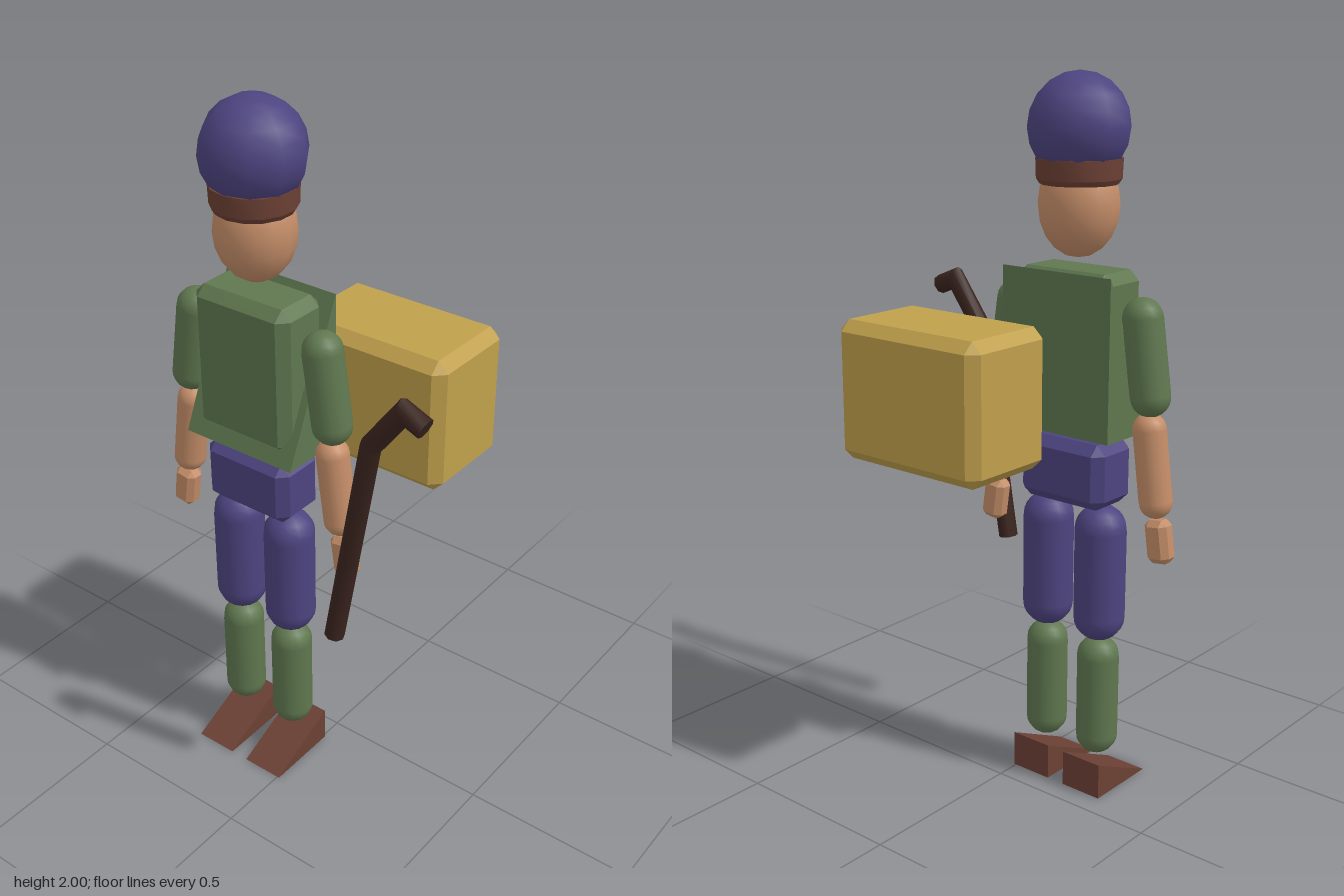
import * as THREE from 'three';
import { toCreasedNormals } from 'three/addons/utils/BufferGeometryUtils.js';
import { ConvexGeometry } from 'three/addons/geometries/ConvexGeometry.js';

const CX = -0.148, CZ = 0.143; // middle of the figure
const V = (x, y, z) => new THREE.Vector3(x, y, z);
const material = (color) => new THREE.MeshStandardMaterial({ color });

// Box with every edge cut at 45 degrees
function chamferBox(w, h, d, c) {
  const pts = [];
  for (const i of [-1, 1]) for (const j of [-1, 1]) for (const k of [-1, 1]) {
    const x = w / 2, y = h / 2, z = d / 2;
    pts.push(V(i * x, j * (y - c), k * (z - c)), V(i * (x - c), j * y, k * (z - c)), V(i * (x - c), j * (y - c), k * z));
  }
  return new ConvexGeometry(pts);
}

// Ramp: upright at the back, sloping down to the front
function wedge(w, h, zBack, zFront) {
  const pts = [];
  for (const x of [-w / 2, w / 2]) pts.push(V(x, 0, zBack), V(x, h, zBack), V(x, 0, zFront));
  return new ConvexGeometry(pts);
}

// Bar with mitred bends along a flat path, made by moving the rows of a cylinder
function bentBar(path, r, sides) {
  const n = path.length - 1;
  const geo = new THREE.CylinderGeometry(r, r, n, sides, n);
  const pos = geo.attributes.position;
  const dir = (i) => path[i + 1].clone().sub(path[i]).normalize();
  for (let v = 0; v < pos.count; v++) {
    const row = Math.round(pos.getY(v) + n / 2);
    const a = dir(Math.max(row - 1, 0)), b = dir(Math.min(row, n - 1));
    const t = a.clone().add(b).normalize();
    const s = pos.getX(v) / t.dot(a);
    pos.setXYZ(v, path[row].x + t.y * s, path[row].y - t.x * s, pos.getZ(v));
  }
  return toCreasedNormals(geo.toNonIndexed(), 0.8);
}

export function createModel() {
  const model = new THREE.Group();
  model.name = 'traveller';
  const green = material(0x5f774f), purple = material(0x4d4480), skin = material(0xc48d68);
  const leather = material(0x6b4034), wood = material(0x3a241e), tan = material(0xc0a04c);

  const add = (name, geo, mat, x, y, z) => {
    const mesh = new THREE.Mesh(geo, mat);
    mesh.name = name;
    mesh.position.set(x, y, z);
    model.add(mesh);
    return mesh;
  };
  // Capsule whose end-cap centres are a and b
  const limb = (name, a, b, r, mat) => {
    const axis = b.clone().sub(a);
    const mid = a.clone().add(b).multiplyScalar(0.5);
    const mesh = add(name, new THREE.CapsuleGeometry(r, axis.length(), 6, 14), mat, mid.x, mid.y, mid.z);
    mesh.quaternion.setFromUnitVectors(V(0, 1, 0), axis.normalize());
  };

  // Head, hat band and cap
  add('head', new THREE.SphereGeometry(1, 14, 10), skin, CX, 1.66, CZ - 0.002).scale.set(0.112, 0.14, 0.107);
  const bandProfile = [[0, 1.713], [0.104, 1.713], [0.113, 1.727], [0.115, 1.78], [0, 1.78]]
    .map(([r, y]) => new THREE.Vector2(r, y));
  add('hatBand', toCreasedNormals(new THREE.LatheGeometry(bandProfile, 14), 0.5), leather, CX, 0, CZ - 0.002);
  add('cap', new THREE.SphereGeometry(0.14, 10, 7, 0.3, Math.PI * 2, 0, 2.2), purple, CX, 1.86, CZ - 0.004);

  // Torso, sloped vest and hips
  add('torso', chamferBox(0.312, 0.415, 0.17, 0.028), green, CX, 1.287, CZ);
  add('vest', wedge(0.357, 0.438, 0.045, 0.24), green, CX, 1.056, 0);
  add('hips', chamferBox(0.282, 0.184, 0.164, 0.028), purple, CX, 0.942, CZ);

  // Arms and legs, mirrored about the body's middle
  for (const [side, s] of [['right', -1], ['left', 1]]) {
    const at = (dx, y) => V(CX + s * dx, y, CZ);
    limb(side + 'UpperArm', at(0.242, 1.18), at(0.212, 1.383), 0.055, green);
    limb(side + 'Forearm', at(0.269, 0.897), at(0.243, 1.09), 0.046, skin);
    add(side + 'Hand', chamferBox(0.07, 0.12, 0.058, 0.016), skin, CX + s * 0.286, 0.79, CZ).rotation.z = s * 0.14;
    limb(side + 'Thigh', at(0.091, 0.525), at(0.091, 0.777), 0.073, purple);
    limb(side + 'Shin', at(0.091, 0.162), at(0.091, 0.4), 0.06, green);
    add(side + 'Shoe', wedge(0.127, 0.104, 0.07, 0.292), leather, CX + s * 0.091, 0, 0);
  }

  // Pack behind the back
  add('pack', chamferBox(0.495, 0.386, 0.302, 0.03), tan, 0.082, 1.166, -0.149);

  // Walking stick with a hooked handle
  const stickPath = [[0.196, 0.622], [0.307, 1.257], [0.402, 1.385], [0.463, 1.36]].map(([x, y]) => new THREE.Vector2(x, y));
  add('walkingStick', bentBar(stickPath, 0.028, 8), wood, 0, 0, 0.267);

  return model;
}
